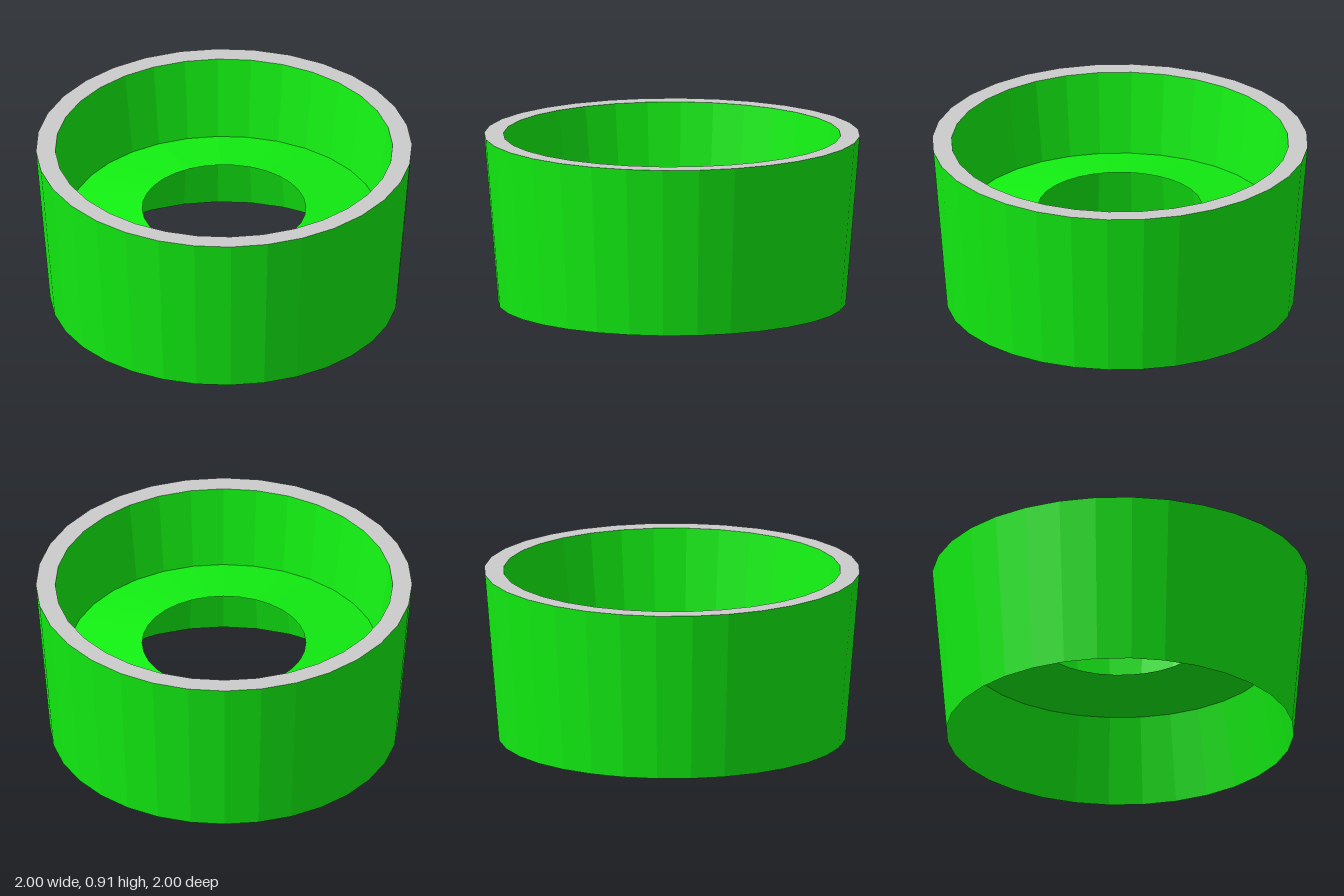
import * as THREE from 'three';

const SIDES = 32;
const TOP = 0.91;

// Faceted ring swept from a profile of [radius, height] points
function ring(name, color, profile) {
  const points = profile.map(([r, y]) => new THREE.Vector2(r, y));
  const material = new THREE.MeshStandardMaterial({ color, flatShading: true, side: THREE.DoubleSide });
  const mesh = new THREE.Mesh(new THREE.LatheGeometry(points, SIDES), material);
  mesh.name = name;
  return mesh;
}

export function createModel() {
  const group = new THREE.Group();
  group.name = 'taperedCup';
  const green = 0x12f012;
  const floorEdge = [0.83, 0.468];
  const holeEdge = [0.435, 0.535];

  group.add(
    // Outer wall, flaring upwards
    ring('outerWall', green, [[0.925, 0], [1, TOP]]),
    // Flat grey rim
    ring('topRim', 0xcccccc, [[1, TOP], [0.897, TOP]]),
    // Upper inside wall
    ring('upperInnerWall', green, [[0.897, TOP], floorEdge]),
    // Thin floor rising gently to the central hole
    ring('floor', green, [floorEdge, holeEdge]),
    // Inside wall of the hollow underside, meeting the outer wall at the base
    ring('lowerInnerWall', green, [floorEdge, [0.925, 0]])
  );
  return group;
}
